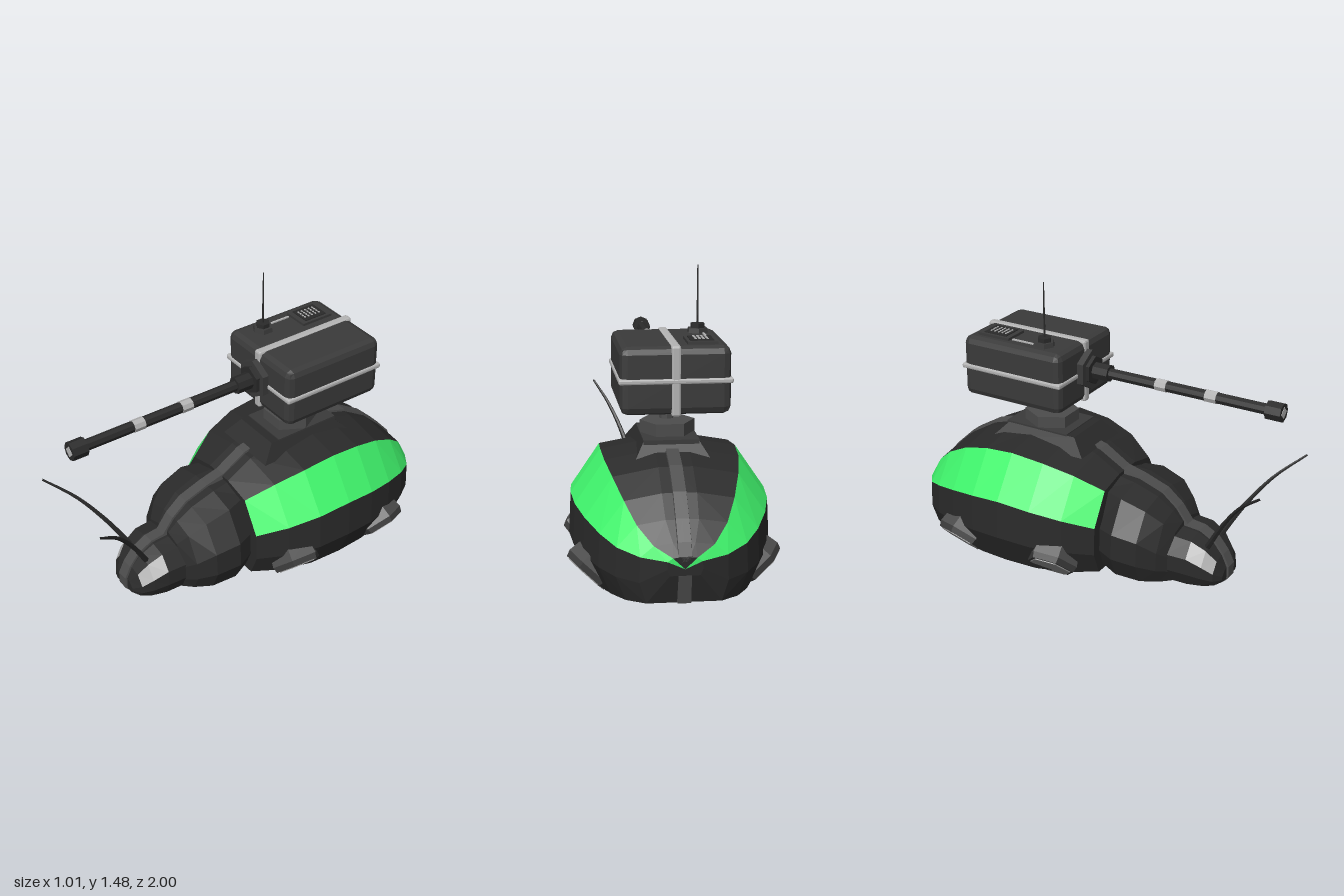
import * as THREE from 'three';
import { RoundedBoxGeometry } from 'three/addons/geometries/RoundedBoxGeometry.js';

const mat = (color) => new THREE.MeshStandardMaterial({ color, flatShading: true });
const black = mat(0x2a2a2a), dark = mat(0x3a3a3a), grey = mat(0x4c4c4c);
const pad = mat(0x8a8a8a), light = mat(0xb4b4b4), green = mat(0x40f56c);

// Half cross-section, from the top centre round to the bottom centre.
function section([z, w, top, edge, bottom]) {
  return [
    [0, top], [Math.min(0.08, w * 0.25), top], [w * 0.68, edge + 0.83 * (top - edge)],
    [w * 0.98, edge], [w, bottom + 0.45 * (edge - bottom)], [w * 0.85, bottom], [0, bottom],
  ].map(([x, y]) => [x, y, z]);
}

// Skin between rings (front to back), columns c0..c1, mirrored in x.
function skin(rings, c0, c1) {
  const out = [];
  for (const s of [1, -1])
    for (let i = 0; i < rings.length - 1; i++)
      for (let j = c0; j < c1; j++) {
        const a = rings[i][j], b = rings[i + 1][j], c = rings[i + 1][j + 1], d = rings[i][j + 1];
        for (const p of s > 0 ? [a, d, c, a, c, b] : [a, c, d, a, b, c]) out.push(p[0] * s, p[1], p[2]);
      }
  const geo = new THREE.BufferGeometry();
  geo.setAttribute('position', new THREE.Float32BufferAttribute(out, 3));
  geo.computeVertexNormals();
  return geo;
}

export function createModel() {
  const model = new THREE.Group();
  const add = (name, geo, material, x = 0, y = 0, z = 0, parent = model) => {
    const m = new THREE.Mesh(geo, material);
    m.name = name;
    m.position.set(x, y, z);
    parent.add(m);
    return m;
  };
  const box = (w, h, d) => new THREE.BoxGeometry(w, h, d);
  const prism = (r0, r1, h, n) => new THREE.CylinderGeometry(r0, r1, h, n);

  // Body sections: z, half width, top, side edge, bottom
  const abdomen = [
    [0.14, 0, 0.3, 0.3, 0.3], [0.14, 0.33, 0.525, 0.325, 0.06], [0, 0.42, 0.605, 0.37, 0.055],
    [-0.16, 0.47, 0.65, 0.4, 0.05], [-0.34, 0.48, 0.668, 0.413, 0.05], [-0.5, 0.468, 0.652, 0.4, 0.05],
    [-0.65, 0.43, 0.605, 0.375, 0.052], [-0.79, 0.37, 0.52, 0.34, 0.055], [-0.89, 0.3, 0.425, 0.305, 0.058],
    [-0.965, 0.2, 0.34, 0.28, 0.065], [-1, 0.08, 0.285, 0.265, 0.2], [-1, 0, 0.23, 0.23, 0.23],
  ].map(section);
  const thorax = [
    [0.5, 0, 0.2, 0.2, 0.2], [0.485, 0.18, 0.33, 0.19, 0.05], [0.44, 0.24, 0.39, 0.23, 0.055],
    [0.36, 0.3, 0.455, 0.29, 0.06], [0.23, 0.32, 0.5, 0.31, 0.07], [0.1, 0.26, 0.51, 0.3, 0.09],
  ].map(section);
  const head = [
    [0.73, 0, 0.1, 0.1, 0.1], [0.73, 0.08, 0.14, 0.105, 0.075], [0.7, 0.13, 0.2, 0.135, 0.065],
    [0.65, 0.163, 0.26, 0.175, 0.062], [0.575, 0.185, 0.3, 0.21, 0.06], [0.46, 0.19, 0.31, 0.21, 0.06],
  ].map(section);

  // Abdomen and wing covers
  add('abdomenTop', skin(abdomen, 0, 2), black);
  add('wingCovers', skin(abdomen.slice(1), 2, 3), green);
  add('wingCoverSides', skin(abdomen.slice(1, -1), 3, 3), green);
  add('abdomenFront', skin(abdomen.slice(0, 2), 2, 6), black);
  add('abdomenSides', skin(abdomen.slice(1), 3, 6), black);
  add('thorax', skin(thorax, 0, 6), black);

  // Head with eyes set flush into its sides
  add('headTop', skin(head, 0, 2), black);
  add('headSides', skin(head, 3, 6), black);
  add('headNose', skin(head.slice(0, 3), 2, 3), black);
  add('headBack', skin(head.slice(4), 2, 3), black);
  add('eyes', skin(head.slice(2, 5), 2, 3), light);

  // Raised strip along the whole back
  const path = [
    [0.71, 0.06], [0.73, 0.08], [0.73, 0.14], [0.7, 0.2], [0.65, 0.26], [0.575, 0.3], [0.5, 0.31],
    [0.44, 0.39], [0.36, 0.455], [0.23, 0.5], [0.13, 0.525], [0, 0.605], [-0.16, 0.65], [-0.34, 0.668],
    [-0.5, 0.652], [-0.65, 0.605], [-0.79, 0.52], [-0.89, 0.425], [-0.965, 0.34], [-1, 0.285],
    [-1, 0.2], [-0.965, 0.065],
  ];
  const strip = path.map(([z, y], i) => {
    const p = path[Math.max(0, i - 1)], q = path[Math.min(path.length - 1, i + 1)];
    const n = new THREE.Vector2(q[1] - p[1], p[0] - q[0]).normalize();
    const at = (x, h) => [x, y + n.y * h, THREE.MathUtils.clamp(z + n.x * h, -1, 0.74)];
    return [at(0, 0.01), at(0.03, 0.01), at(0.036, -0.02)];
  });
  add('backStrip', skin(strip, 0, 2), grey);

  // Hexagonal feet, facing out and down
  for (const s of [1, -1])
    for (const [z, yaw] of [[-0.065, -0.08], [-0.625, 0.25]]) {
      const foot = new THREE.Group();
      foot.name = 'foot';
      const out = new THREE.Vector3(s * Math.cos(yaw), -1, -Math.sin(yaw)).normalize();
      foot.quaternion.setFromUnitVectors(new THREE.Vector3(0, 1, 0), out);
      foot.position.set(s * 0.413, 0.097, z);
      model.add(foot);
      add('footRim', prism(0.125, 0.135, 0.03, 6), dark, 0, -0.015, 0, foot);
      add('footBlock', prism(0.135, 0.12, 0.09, 6), grey, 0, -0.075, 0, foot);
      add('footPad', prism(0.11, 0.11, 0.01, 6), pad, 0, 0, 0, foot);
    }

  // Curved tapering feelers
  for (const s of [1, -1]) {
    const curve = new THREE.CatmullRomCurve3([
      [0.075, 0.24, 0.635], [0.12, 0.42, 0.74], [0.19, 0.58, 0.86], [0.27, 0.7, 0.995],
    ].map(([x, y, z]) => new THREE.Vector3(s * x, y, z)));
    const geo = new THREE.TubeGeometry(curve, 12, 0.016, 6);
    const pos = geo.attributes.position, v = new THREE.Vector3();
    for (let i = 0; i < pos.count; i++) {
      const t = Math.floor(i / 7) / 12;
      v.fromBufferAttribute(pos, i).lerp(curve.getPointAt(t), t * 0.65);
      pos.setXYZ(i, v.x, v.y, v.z);
    }
    add('feeler', geo, black);
  }

  // Turret mount
  const skirt = prism(0.13 * Math.SQRT2, 0.18 * Math.SQRT2, 0.08, 4).rotateY(Math.PI / 4).scale(1, 1, 1.5);
  add('mountSkirt', skirt, black, 0, 0.65, -0.29);
  add('mountPlate', box(0.265, 0.05, 0.36), dark, 0, 0.67, -0.32);
  add('mountRing', prism(0.14, 0.14, 0.06, 6).rotateY(Math.PI / 6).scale(0.95, 1, 1), grey, 0, 0.725, -0.31);
  add('mountPost', prism(0.035, 0.035, 0.14, 8), grey, 0, 0.81, -0.275);

  // Turret box with crossing bands
  add('turretBox', new RoundedBoxGeometry(0.51, 0.315, 0.57, 1, 0.035), dark, 0, 1.007, -0.385);
  add('sideBand', new RoundedBoxGeometry(0.525, 0.026, 0.582, 1, 0.008), light, 0, 1.007, -0.385);
  add('topBand', new RoundedBoxGeometry(0.044, 0.326, 0.58, 1, 0.01), light, 0, 1.007, -0.385);

  // Gun barrel along +z
  const rod = (name, r, z0, z1, n, m) =>
    add(name, prism(r, r, z1 - z0, n).rotateX(Math.PI / 2), m, 0, 1.02, (z0 + z1) / 2);
  rod('barrelCollar', 0.105, -0.11, -0.065, 6, dark);
  rod('barrelCollarFront', 0.075, -0.065, -0.045, 6, black);
  rod('barrelBreech', 0.044, -0.045, 0.04, 8, black);
  rod('barrel', 0.028, 0.04, 0.9, 8, black);
  for (const z of [0.33, 0.6]) rod('barrelBand', 0.031, z - 0.03, z + 0.03, 8, light);
  rod('muzzle', 0.047, 0.89, 0.97, 8, black);
  rod('muzzleBore', 0.03, 0.89, 0.972, 4, light);

  // Aerial and grille on the turret roof
  add('aerialBase', prism(0.05, 0.055, 0.025, 6), dark, -0.155, 1.175, -0.245);
  add('aerialSocket', prism(0.036, 0.036, 0.022, 6), black, -0.155, 1.198, -0.245);
  add('aerial', prism(0.003, 0.006, 0.285, 6), black, -0.155, 1.347, -0.245);
  add('roofCable', box(0.01, 0.01, 0.125), light, -0.175, 1.166, -0.36);
  add('grillePlate', box(0.14, 0.016, 0.18), dark, -0.13, 1.17, -0.52);
  add('grillePanel', box(0.11, 0.012, 0.13), black, -0.13, 1.176, -0.52);
  for (let i = 0; i < 4; i++)
    for (let j = 0; j < 5; j++)
      add('grilleDot', box(0.011, 0.006, 0.007), light, -0.157 + i * 0.018, 1.183, -0.56 + j * 0.022);

  return model;
}
